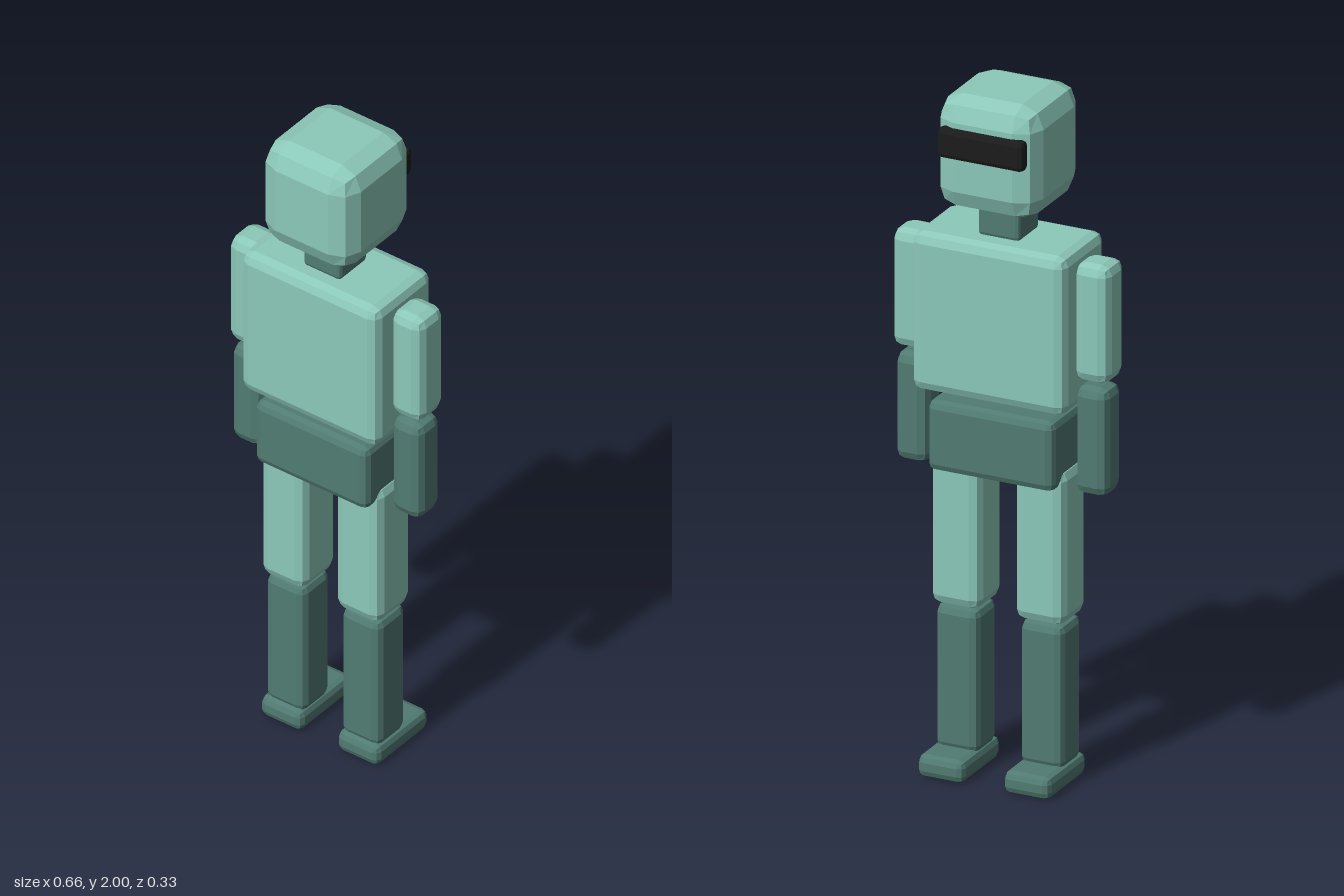
import * as THREE from 'three';
import { RoundedBoxGeometry } from 'three/addons/geometries/RoundedBoxGeometry.js';

function material(name, color) {
  const m = new THREE.MeshStandardMaterial({ color });
  m.name = name;
  return m;
}

// Box with two-facet bevels, given by its [min, max] range on each axis
function block(name, mat, [x0, x1], [y0, y1], [z0, z1], bevel) {
  const geo = new RoundedBoxGeometry(x1 - x0, y1 - y0, z1 - z0, 1, bevel);
  geo.computeVertexNormals(); // unshared corners give flat facets
  const mesh = new THREE.Mesh(geo, mat);
  mesh.name = name;
  mesh.position.set((x0 + x1) / 2, (y0 + y1) / 2, (z0 + z1) / 2);
  return mesh;
}

export function createModel() {
  const light = material('light teal', 0x8cc9ba);
  const dark = material('dark teal', 0x517c73);
  const black = material('visor black', 0x1b1b1b);

  const model = new THREE.Group();
  model.name = 'blockFigure';

  // Head, visor, neck and body
  model.add(
    block('head', light, [-0.154, 0.154], [1.67, 2], [-0.148, 0.163], 0.064),
    block('visor', black, [-0.13, 0.13], [1.832, 1.92], [-0.166, -0.125], 0.014),
    block('neck', dark, [-0.063, 0.063], [1.575, 1.7], [-0.051, 0.074], 0.012),
    block('torso', light, [-0.232, 0.232], [1.116, 1.58], [-0.121, 0.136], 0.03),
    block('pelvis', dark, [-0.191, 0.191], [0.883, 1.088], [-0.105, 0.125], 0.022)
  );

  // Arms and legs, mirrored
  for (const [side, s] of [['left', 1], ['right', -1]]) {
    const limb = (part, mat, [a, b], y, z, bevel) =>
      block(side + part, mat, s > 0 ? [a, b] : [-b, -a], y, z, bevel);
    const arm = new THREE.Group();
    arm.name = side + 'Arm';
    arm.add(
      limb('UpperArm', light, [0.222, 0.328], [1.2, 1.545], [-0.049, 0.065], 0.03),
      limb('Forearm', dark, [0.222, 0.321], [0.867, 1.183], [-0.041, 0.06], 0.028)
    );
    const leg = new THREE.Group();
    leg.name = side + 'Leg';
    leg.add(
      limb('Thigh', light, [0.052, 0.202], [0.477, 0.93], [-0.067, 0.087], 0.03),
      limb('Shin', dark, [0.063, 0.193], [0.05, 0.474], [-0.053, 0.073], 0.024),
      limb('Foot', dark, [0.06, 0.2], [0, 0.064], [-0.146, 0.088], 0.02)
    );
    model.add(arm, leg);
  }
  return model;
}
